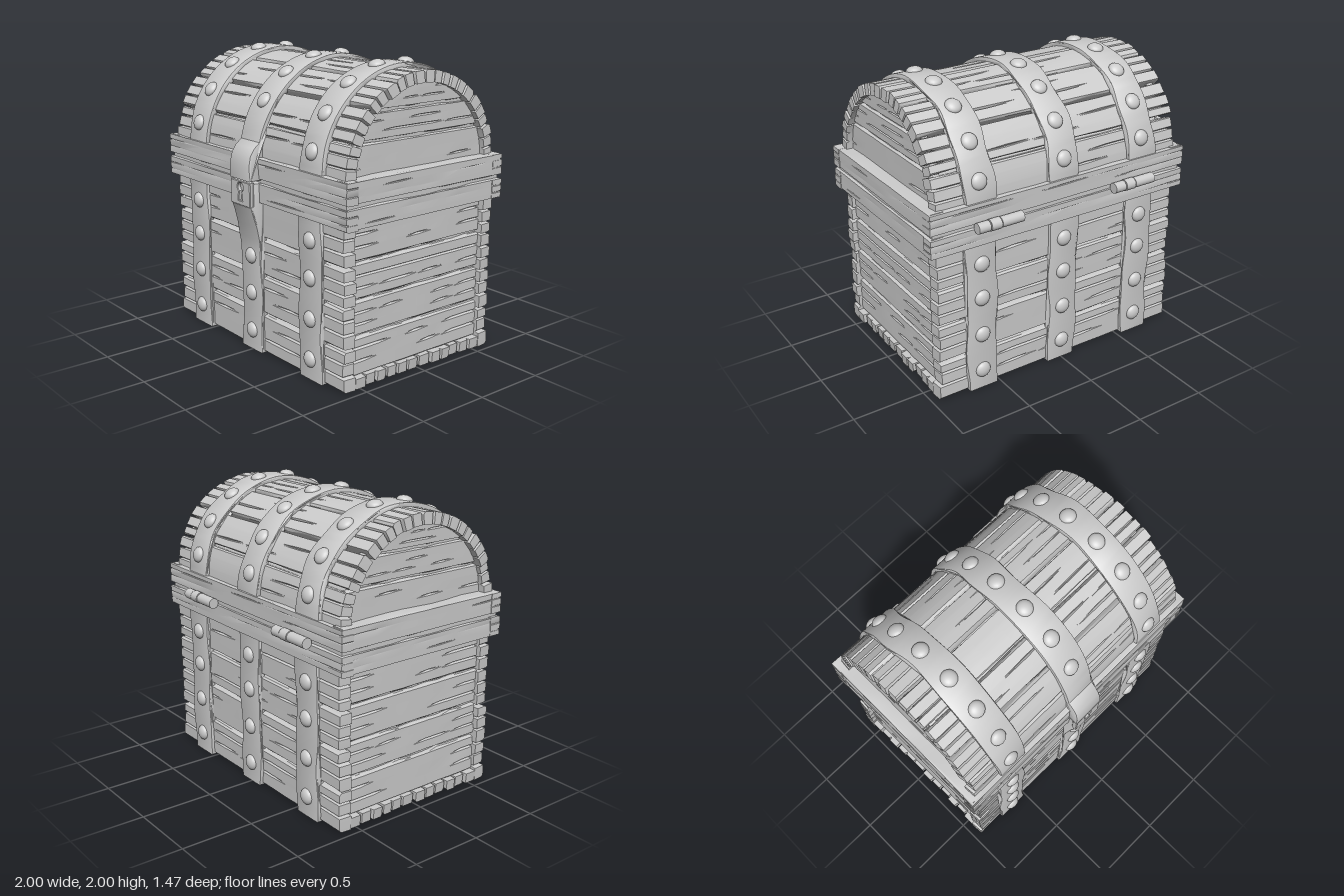
import * as THREE from 'three';
import { toCreasedNormals } from 'three/addons/utils/BufferGeometryUtils.js';

const WOOD = new THREE.MeshStandardMaterial({ color: 0xcccccc });
const METAL = new THREE.MeshStandardMaterial({ color: 0xcccccc });
const ARC_Y = 1.32;                 // height of the lid's axis
const LID_R = 0.635, STRAP_R = 0.66; // outer radii of lid boards and lid straps
const BODY_Z = 0.64, STRAP_Z = 0.66;
const COLS = 10;
const ROWS = [0, 0.06, 0.3, 0.335, 0.37, 0.63, 0.665, 0.7, 0.94, 1];
let seed = 1;

const hash = (a, b, c) => {
  const s = Math.sin(a * 12.9898 + b * 78.233 + c * 37.719) * 43758.5453;
  return s - Math.floor(s);
};

// Hewn board: length on x, width on y, outer face at z = 0; split ends, cracks, worn edges
function board(len, width, thick, { notch = 1, dent = 0.018, warp } = {}) {
  const id = seed++;
  const last = ROWS.length - 1;
  const geo = new THREE.BoxGeometry(len, width, thick, COLS, last, 1);
  const p = geo.attributes.position, v = new THREE.Vector3();
  const slide = (hash(id, 3, 5) - 0.5) * 0.12;
  for (let i = 0; i < p.count; i++) {
    v.fromBufferAttribute(p, i);
    const col = Math.round((v.x / len + 0.5) * COLS);
    const row = Math.round((v.y / width + 0.5) * last);
    const outer = v.z > 0, edge = row === 0 || row === last;
    const end = col === 0 || col === COLS, crack = row === 3 || row === 6;
    const inner = row > 1 && row < last - 1;
    v.y = (ROWS[row] - 0.5 + (inner ? slide : 0)) * (width - 0.006);
    v.z -= thick / 2;
    const r = hash(col, row, id);
    if (end) {
      const cut = crack ? 0.03 + 0.12 * r * r : 0.02 * hash(col, Math.floor((row + 0.5) / 3.4), id);
      v.x -= Math.sign(v.x) * notch * (cut + (outer ? 0.006 : 0));
    }
    if (edge) v.y -= Math.sign(v.y) * 0.012 * r;
    if (outer && edge) v.z -= 0.016;
    else if (outer && crack && (r < 0.25 || (notch && (col < 2 || col > COLS - 2)))) v.z -= dent;
    else if (outer) v.z -= 0.004 * hash(col, row > 4 ? 1 : 0, id);
    if (warp) warp(v);
    p.setXYZ(i, v.x, v.y, v.z);
  }
  return toCreasedNormals(geo, 0.5);
}

function add(parent, name, geo, mat, pos = [0, 0, 0], rot = [0, 0, 0]) {
  const m = new THREE.Mesh(geo, mat);
  m.name = name;
  m.position.set(...pos);
  m.rotation.set(...rot);
  parent.add(m);
  return m;
}

// Metal band: a side profile of [z, y] points given width along x, with wavy edges
function band(profile, cx, width = 0.225) {
  const shape = new THREE.Shape(profile.map(([z, y]) => new THREE.Vector2(z, y)));
  const b = 0.008;
  const geo = new THREE.ExtrudeGeometry(shape, {
    depth: width - 2 * b, bevelThickness: b, bevelSize: b, bevelOffset: -b, bevelSegments: 2,
  });
  geo.translate(0, 0, b - width / 2).rotateY(-Math.PI / 2);
  const p = geo.attributes.position;
  for (let i = 0; i < p.count; i++) {
    const s = p.getY(i) * 9 + p.getZ(i) * 7 + cx * 5;
    p.setX(i, p.getX(i) * (1 + 0.05 * Math.sin(s * 1.7)) + 0.008 * Math.sin(s) + cx);
  }
  return toCreasedNormals(geo, 0.6);
}

const range = (n, a, b) => Array.from({ length: n + 1 }, (_, i) => a + (b - a) * i / n);
const arc = (r, list) => list.map(t => [r * Math.cos(t), ARC_Y + r * Math.sin(t)]);

function rivet(parent, x, y, z, normal) {
  const geo = new THREE.SphereGeometry(0.055, 18, 7, 0, Math.PI * 2, 0, Math.PI / 2);
  geo.scale(1, 0.62, 1);
  const m = add(parent, 'rivet', geo, METAL, [x, y, z]);
  m.quaternion.setFromUnitVectors(new THREE.Vector3(0, 1, 0), normal);
}

function buildBody(g) {
  // Solid lining seen between the boards
  add(g, 'bodyLining', new THREE.BoxGeometry(1.76, 1.28, 1.16), WOOD, [0, 0.68, 0]);
  const seams = [0, 0.28, 0.55, 0.805, 1.07];
  const sideSeams = [0.07, 0.34, 0.575, 0.82, 1.07];
  for (let i = 0; i < 4; i++) {
    const h = seams[i + 1] - seams[i], y = seams[i] + h / 2;
    add(g, 'frontBoard', board(1.91, h, 0.09), WOOD, [0, y, BODY_Z]);
    add(g, 'backBoard', board(1.91, h, 0.09), WOOD, [0, y, -BODY_Z], [0, Math.PI, 0]);
    const sh = sideSeams[i + 1] - sideSeams[i], sy = sideSeams[i] + sh / 2;
    for (const s of [1, -1])
      add(g, 'sideBoard', board(1.12, sh, 0.05, { notch: 0.4 }), WOOD, [s * 0.915, sy, 0], [0, s * Math.PI / 2, 0]);
    add(g, 'bottomBoard', board(1.91, 0.28, 0.075), WOOD, [0, 0.004, (i - 1.5) * 0.28], [Math.PI / 2, 0, 0]);
  }
}

function buildLid(g) {
  add(g, 'lidLining', new THREE.CylinderGeometry(0.565, 0.565, 1.76, 40), WOOD, [0, ARC_Y, 0], [0, 0, Math.PI / 2]);
  // Eight curved boards over the top
  const step = Math.PI / 8;
  const bend = v => {
    const a = v.y / LID_R, r = LID_R + v.z;
    v.y = r * Math.sin(a);
    v.z = r * Math.cos(a);
  };
  for (let i = 0; i < 8; i++)
    add(g, 'lidBoard', board(1.91, LID_R * step, 0.08, { warp: bend }), WOOD, [0, ARC_Y, 0], [-(i + 0.5) * step, 0, 0]);
  // Rounded end panels in three boards
  const seams = [1.33, 1.55, 1.73, 1.9];
  for (let i = 0; i < 3; i++) {
    const h = seams[i + 1] - seams[i], y = seams[i] + h / 2;
    const fit = v => { v.x *= 2 * Math.sqrt(Math.max(0.01, 0.6 ** 2 - (v.y + y - ARC_Y) ** 2)); };
    for (const s of [1, -1])
      add(g, 'lidEndBoard', board(1, h, 0.05, { notch: 0, warp: fit }), WOOD, [s * 0.905, y, 0], [0, s * Math.PI / 2, 0]);
  }
}

function buildRims(g) {
  for (const [name, y, h] of [['bodyRim', 1.122, 0.146], ['lidRim', 1.284, 0.156]]) {
    for (const s of [1, -1]) {
      const turn = s > 0 ? 0 : Math.PI;
      add(g, name, board(2, h, 0.09, { notch: 0.15, dent: 0.005 }), WOOD, [0, y, s * 0.67], [0, turn, 0]);
      add(g, name, board(1.31, h, 0.1, { notch: 0, dent: 0.005 }), WOOD, [s * 0.997, y, 0], [0, s * Math.PI / 2, 0]);
    }
  }
  add(g, 'rimGap', new THREE.BoxGeometry(1.95, 0.1, 1.3), WOOD, [0, 1.2, 0]);
}

function buildStraps(g) {
  const out = new THREE.Vector3();
  for (const cx of [-0.635, 0, 0.635]) {
    const mid = cx === 0;
    // Upright straps on front and back
    for (const s of [1, -1]) {
      const lock = mid && s > 0;
      const outer = range(14, 0, lock ? 0.74 : 1.07).map(y => [s * STRAP_Z, y]);
      if (lock) outer.push([0.67, 0.8], [0.69, 0.89], [0.72, 0.98], [0.735, 1.03], [0.712, 1.04], [0.712, 1.19]);
      const top = outer[outer.length - 1][1];
      add(g, s > 0 ? 'frontStrap' : 'backStrap', band([...outer, [s * 0.61, top], [s * 0.61, 0]], cx), METAL);
      for (const y of lock ? [0.14, 0.41, 0.67] : [0.14, 0.41, 0.68, 0.925])
        rivet(g, cx, y, s * (STRAP_Z - 0.002), out.set(0, 0, s));
    }
    // Arched strap over the lid; the middle one ends in the hasp
    const angles = range(48, mid ? 0.2 : 0.04, Math.PI - 0.04);
    const hasp = mid ? [[0.61, 1.205], [0.737, 1.205], [0.737, 1.3], [0.72, 1.37], [0.69, 1.415]] : [];
    add(g, 'lidStrap', band([...hasp, ...arc(STRAP_R, angles), ...arc(0.61, angles.reverse())], cx), METAL);
    for (let i = mid ? 1 : 0; i < 8; i++) {
      const t = (14 + i * 21.7) * Math.PI / 180;
      out.set(0, Math.sin(t), Math.cos(t));
      rivet(g, cx, ARC_Y + (STRAP_R - 0.003) * out.y, (STRAP_R - 0.003) * out.z, out);
    }
  }
}

function buildLock(g) {
  // Lock plate pierced by a keyhole
  const plate = new THREE.Shape();
  plate.moveTo(-0.108, 1.03).lineTo(0.108, 1.03).lineTo(0.11, 1.195).lineTo(-0.11, 1.195).closePath();
  const hole = new THREE.Path();
  hole.moveTo(-0.024, 1.062).lineTo(0.024, 1.062).lineTo(0.014, 1.13);
  hole.absarc(0, 1.152, 0.031, -1.05, Math.PI + 1.05, false);
  hole.closePath();
  plate.holes.push(hole);
  const geo = new THREE.ExtrudeGeometry(plate, {
    depth: 0.03, bevelThickness: 0.005, bevelSize: 0.005, bevelOffset: -0.005, bevelSegments: 1, curveSegments: 16,
  });
  add(g, 'lockPlate', toCreasedNormals(geo, 0.5), METAL, [0, 0, 0.702]);
}

function buildHinges(g) {
  for (const cx of [-0.535, 0.525]) {
    for (const [a, b, r] of [[-0.165, -0.003, 0.036], [0.003, 0.077, 0.039], [0.083, 0.165, 0.036]])
      add(g, 'hingeKnuckle', new THREE.CylinderGeometry(r, r, b - a, 20), METAL, [cx + (a + b) / 2, 1.2, -0.698], [0, 0, Math.PI / 2]);
    add(g, 'hingePin', new THREE.CylinderGeometry(0.028, 0.028, 0.32, 16), METAL, [cx, 1.2, -0.698], [0, 0, Math.PI / 2]);
  }
}

export function createModel() {
  seed = 1;
  const chest = new THREE.Group();
  chest.name = 'treasureChest';
  const parts = { body: buildBody, lid: buildLid, rims: buildRims, straps: buildStraps, lock: buildLock, hinges: buildHinges };
  for (const [name, build] of Object.entries(parts)) {
    const g = new THREE.Group();
    g.name = name;
    build(g);
    chest.add(g);
  }
  return chest;
}
